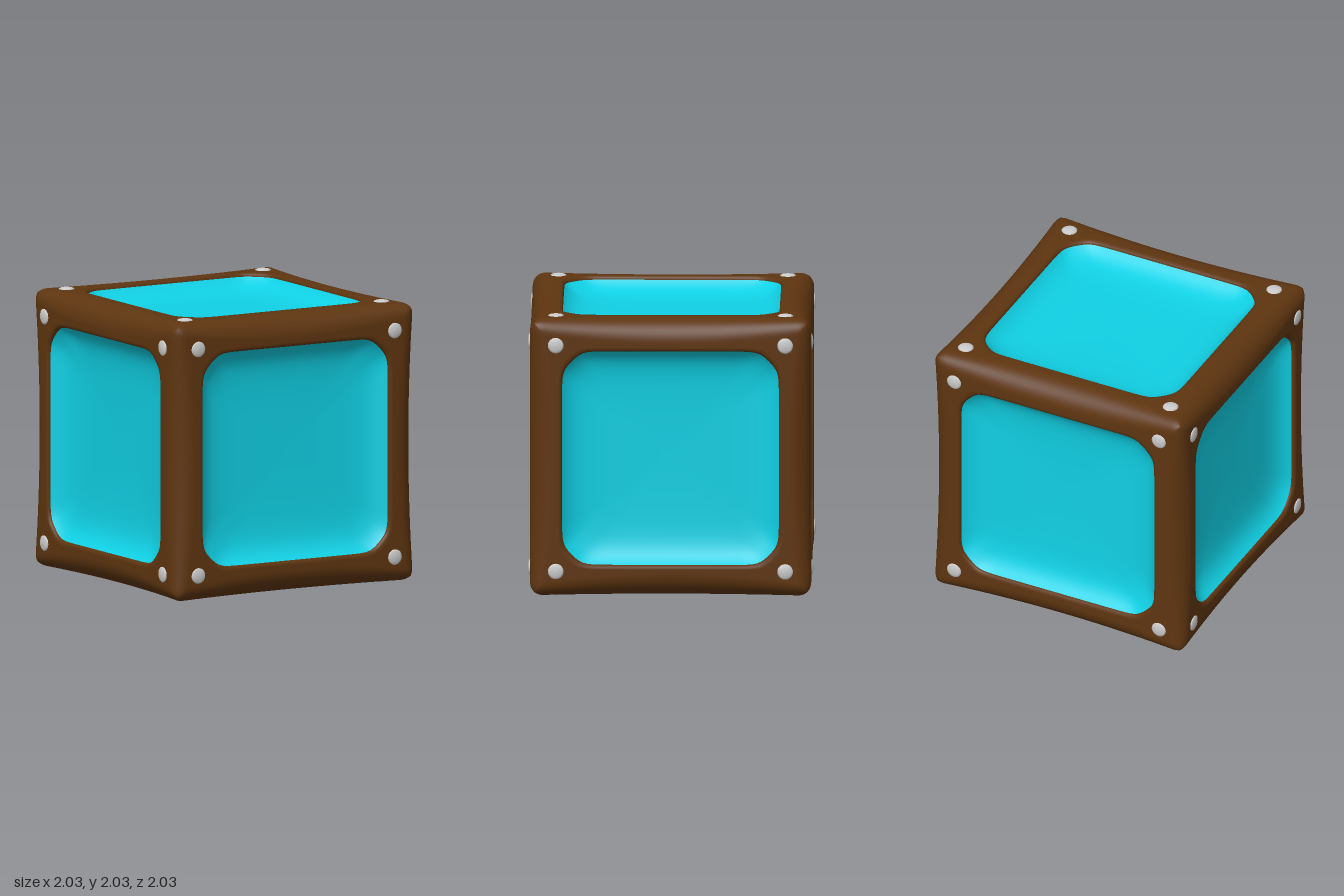
import * as THREE from 'three';
import { mergeGeometries, mergeVertices } from 'three/addons/utils/BufferGeometryUtils.js';

// Points round a unit square, counter-clockwise, denser toward the corners
const SIDE = 36;
const perimeter = [];
for (let s = 0; s < 4; s++) {
  for (let i = 0; i < SIDE; i++) {
    const u = Math.sin((Math.PI / 2) * ((2 * i) / SIDE - 1));
    perimeter.push([[1, u], [-u, 1], [-1, -u], [u, -1]][s]);
  }
}

// Scale that brings a square point onto the softened octagonal opening
function openingScale([x, y]) {
  const p = 40;
  return Math.pow(Math.pow(1 / 0.77, p) + Math.pow((Math.abs(x) + Math.abs(y)) / 1.4, p), -1 / p);
}

// Round a point of the cube; edges are rounder in their middle than at the ends
function roundCube(v) {
  const t = Math.min(Math.abs(v.x), Math.abs(v.y), Math.abs(v.z));
  const r = 0.17 - 0.09 * t * t;
  const core = v.clone().clampScalar(-(1 - r), 1 - r);
  return v.clone().sub(core).setLength(r).add(core);
}

// Surface through closed rings, listed from the inside out
function ringSurface(rings) {
  const n = perimeter.length, pos = [], index = [];
  rings.forEach((ring) => ring.forEach((v) => pos.push(v.x, v.y, v.z)));
  for (let j = 0; j < rings.length - 1; j++) {
    for (let i = 0; i < n; i++) {
      const k = (i + 1) % n;
      const a = j * n + i, b = (j + 1) * n + i, c = (j + 1) * n + k, d = j * n + k;
      index.push(a, b, c, a, c, d);
    }
  }
  const g = new THREE.BufferGeometry();
  g.setAttribute('position', new THREE.Float32BufferAttribute(pos, 3));
  g.setIndex(index);
  return g;
}

// One face of the frame: rim wall, bevel, flat border, rounded outer edge
function frameFace() {
  const rings = [[0, 0.93], [0, 0.975], [0.004, 0.99], [0.016, 1]].map(([grow, z]) =>
    perimeter.map((q) => {
      const k = openingScale(q) + grow;
      return new THREE.Vector3(q[0] * k, q[1] * k, z);
    }));
  const steps = 14;
  for (let j = 1; j <= steps; j++) {
    rings.push(perimeter.map((q) => {
      const k0 = openingScale(q) + 0.016;
      const k = k0 + (1 - k0) * (j / steps);
      return roundCube(new THREE.Vector3(q[0] * k, q[1] * k, 1));
    }));
  }
  return ringSurface(rings);
}

// Dished panel, steep near the rim and nearly flat in the middle
function panelGeometry() {
  const rings = [], steps = 14;
  for (let j = 0; j <= steps; j++) {
    const rho = 1 - Math.pow(1 - j / steps, 2);
    const z = 0.975 - 0.09 * (1 - Math.pow(rho, 10)) - 0.025 * (1 - rho * rho);
    rings.push(perimeter.map((q) => {
      const k = openingScale(q) * rho;
      return new THREE.Vector3(q[0] * k, q[1] * k, z);
    }));
  }
  const g = mergeVertices(ringSurface(rings), 1e-5);
  g.computeVertexNormals();
  return g;
}

export function createModel() {
  const model = new THREE.Group();
  model.name = 'crate';
  const brown = new THREE.MeshStandardMaterial({ color: 0x5e3510 });
  const cyan = new THREE.MeshStandardMaterial({ color: 0x10d0e4 });
  const grey = new THREE.MeshStandardMaterial({ color: 0xcccccc });

  const half = Math.PI / 2;
  const sides = {
    front: [0, 0], back: [0, Math.PI], left: [0, half],
    right: [0, -half], top: [-half, 0], bottom: [half, 0],
  };

  const panel = panelGeometry();
  // Low domed rivet head facing +z
  const rivet = new THREE.LatheGeometry([
    new THREE.Vector2(0.056, -0.02), new THREE.Vector2(0.056, 0.002), new THREE.Vector2(0.045, 0.008),
    new THREE.Vector2(0.025, 0.012), new THREE.Vector2(0, 0.014),
  ], 24);
  rivet.rotateX(half);

  const frameParts = [];
  for (const [name, [rx, ry]] of Object.entries(sides)) {
    const turn = new THREE.Euler(rx, ry, 0);
    frameParts.push(frameFace().applyMatrix4(new THREE.Matrix4().makeRotationFromEuler(turn)));

    const face = new THREE.Group();
    face.name = name + 'Face';
    face.rotation.copy(turn);
    face.position.y = 1;
    const dish = new THREE.Mesh(panel, cyan);
    dish.name = name + 'Panel';
    face.add(dish);
    for (const x of [-1, 1]) {
      for (const y of [-1, 1]) {
        const head = new THREE.Mesh(rivet, grey);
        head.name = 'rivet';
        head.position.set(0.815 * x, 0.815 * y, 1);
        face.add(head);
      }
    }
    model.add(face);
  }

  // Frame welded into one smooth shell
  const frameGeometry = mergeVertices(mergeGeometries(frameParts), 1e-4);
  frameGeometry.computeVertexNormals();
  const frame = new THREE.Mesh(frameGeometry, brown);
  frame.name = 'frame';
  frame.position.y = 1;
  model.add(frame);
  return model;
}
